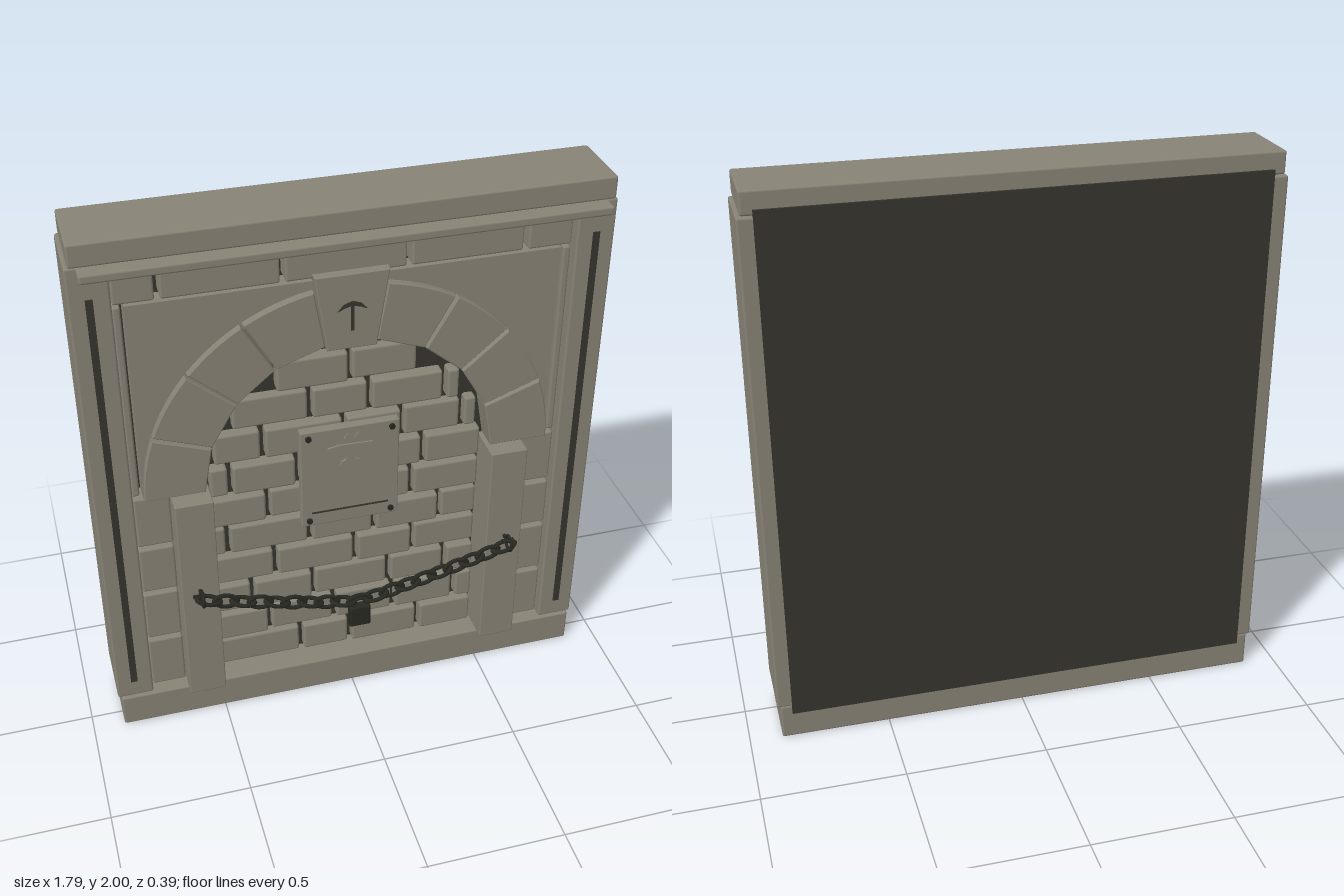
import * as THREE from 'three';
import { RoundedBoxGeometry } from 'three/addons/geometries/RoundedBoxGeometry.js';

const mat = (name, color) => Object.assign(new THREE.MeshStandardMaterial({ color }), { name });

export function createModel() {
  const root = new THREE.Group();
  root.name = 'sealedArchway';
  const stone = mat('stone', 0x878275);
  const mortar = mat('dark mortar', 0x35342d);
  const iron = mat('blackened iron', 0x272821);

  const add = (name, geo, m, parent = root) => {
    const mesh = new THREE.Mesh(geo, m);
    mesh.name = name;
    parent.add(mesh);
    return mesh;
  };
  const group = (name) => {
    const g = new THREE.Group();
    g.name = name;
    root.add(g);
    return g;
  };
  // Box given by its limits, with softened edges when r > 0
  const block = (name, x0, x1, y0, y1, z0, z1, m = stone, r = 0.008, parent = root) => {
    const w = x1 - x0, h = y1 - y0, d = z1 - z0;
    const geo = r ? new RoundedBoxGeometry(w, h, d, 2, r) : new THREE.BoxGeometry(w, h, d);
    const mesh = add(name, geo, m, parent);
    mesh.position.set((x0 + x1) / 2, (y0 + y1) / 2, (z0 + z1) / 2);
    return mesh;
  };
  // Flat outline pushed out from z0 to z1
  const slab = (name, shape, z0, z1, m = stone, bevel = 0, parent = root) => {
    const geo = new THREE.ExtrudeGeometry(shape, {
      depth: z1 - z0 - 2 * bevel, curveSegments: 24, bevelEnabled: bevel > 0,
      bevelSize: bevel, bevelThickness: bevel, bevelOffset: -bevel, bevelSegments: 1,
    });
    geo.translate(0, 0, z0 + bevel);
    return add(name, geo, m, parent);
  };
  const outline = (pts) => new THREE.Shape(pts.map(([x, y]) => new THREE.Vector2(x, y)));

  // Surround
  block('backPanel', -0.845, 0.845, 0.1, 1.94, -0.195, -0.04, mortar, 0);
  block('plinth', -0.885, 0.885, 0, 0.13, -0.187, 0.07);
  block('lintel', -0.885, 0.885, 1.92, 2, -0.187, 0.07);
  block('ledge', -0.86, 0.86, 1.888, 1.92, 0.02, 0.12);
  for (const s of [-1, 1]) {
    const side = s < 0 ? 'right' : 'left';
    const span = (a, b) => (s > 0 ? [a, b] : [-b, -a]);
    block(side + 'Post', ...span(0.765, 0.897), 0.13, 1.917, -0.19, 0.06);
    block(side + 'PostGroove', ...span(0.82, 0.844), 0.2, 1.805, 0.058, 0.064, mortar, 0);
    block(side + 'Pillar', ...span(0.5, 0.635), 0.13, 1.0, -0.06, 0.11, stone, 0.005);
    block(side + 'EdgeStrip', ...span(0.737, 0.763), 1.01, 1.745, -0.06, 0.025);
    // Short courses between pillar and post
    const ys = [0.13, 0.36, 0.58, 0.785, 1.008];
    for (let i = 0; i < 4; i++) {
      block(side + 'SideBrick', ...span(0.637, 0.762), ys[i] + 0.008, ys[i + 1] - 0.008, -0.06, 0.03);
    }
  }

  // Course above the arch
  const topX = [-0.77, -0.62, -0.22, 0.2, 0.6, 0.77];
  for (let i = 0; i < 5; i++) {
    block('topBrick', topX[i] + 0.009, topX[i + 1] - 0.009, 1.755, 1.888, -0.06, 0.03);
  }

  // Infill bricks, one list of joints for each course
  const wall = group('brickInfill');
  const courses = [
    [-0.5, -0.18, 0.01, 0.28, 0.5], [-0.5, -0.3, -0.05, 0.18, 0.42, 0.5],
    [-0.5, -0.36, -0.13, 0.16, 0.38, 0.5], [-0.5, -0.27, 0.03, 0.25, 0.5],
    [-0.5, -0.44, -0.14, 0.1, 0.35, 0.5], [-0.5, -0.29, -0.06, 0.24, 0.5],
    [-0.5, -0.42, -0.18, 0.05, 0.28, 0.5], [-0.48, -0.3, -0.01, 0.2, 0.42, 0.48],
    [-0.41, -0.13, 0.08, 0.35, 0.41], [-0.255, 0.01, 0.255],
  ];
  courses.forEach((xs, row) => {
    const y = 0.13 + row * 0.1325;
    for (let i = 0; i < xs.length - 1; i++) {
      const front = 0.004 * ((row * 3 + i * 5) % 4) - 0.006;
      block('infillBrick', xs[i] + 0.009, xs[i + 1] - 0.009, y + 0.008, y + 0.124, -0.08, front, stone, 0.01, wall);
    }
  });

  // Spandrel wall around the arch
  const spandrel = outline([[0.7, 1], [0.727, 1], [0.727, 1.745], [-0.727, 1.745], [-0.727, 1], [-0.7, 1]]);
  spandrel.absarc(0, 1, 0.7, Math.PI, 0, true);
  slab('spandrel', spandrel, -0.06, 0.025);

  // Arch stones and keystone
  const arch = group('arch');
  const edges = [0, 20, 40.5, 60, 80.5].map(THREE.MathUtils.degToRad);
  for (const s of [1, -1]) {
    for (let i = 0; i < 4; i++) {
      const a = edges[i] + (i ? 0.007 : 0), b = edges[i + 1] - 0.007;
      const pts = [[Math.cos(a) * 0.515, 1 + Math.sin(a) * 0.515]];
      for (let k = 0; k <= 6; k++) {
        const t = a + (b - a) * k / 6;
        pts.push([Math.cos(t) * 0.725, 1 + Math.sin(t) * 0.725]);
      }
      pts.push([Math.cos(b) * 0.515, 1 + Math.sin(b) * 0.515]);
      const placed = pts.map(([x, y]) => [x * s, y]);
      slab('archStone', outline(s > 0 ? placed : placed.reverse()), -0.06, 0.05, stone, 0.004, arch);
    }
  }
  slab('keystone', outline([[-0.085, 1.495], [0.085, 1.495], [0.126, 1.772], [-0.126, 1.772]]),
    -0.06, 0.06, stone, 0.004, arch);

  // Pick carved on the keystone
  const pick = group('pickCarving');
  slab('pickHead', outline([[-0.05, 1.64], [-0.03, 1.663], [0, 1.674], [0.03, 1.663], [0.05, 1.64],
    [0.028, 1.65], [0, 1.658], [-0.028, 1.65]]), 0.058, 0.064, mortar, 0, pick);
  block('pickHandle', -0.006, 0.006, 1.565, 1.66, 0.058, 0.064, mortar, 0, pick);

  // Plaque with rivets and anvil relief
  const plaque = group('plaque');
  block('plaquePlate', -0.178, 0.178, 0.762, 1.167, 0, 0.035, stone, 0.005, plaque);
  for (const x of [-0.15, 0.15]) for (const y of [0.787, 1.142]) {
    const rivet = add('rivet', new THREE.CylinderGeometry(0.011, 0.011, 0.016, 12), iron, plaque);
    rivet.rotation.x = Math.PI / 2;
    rivet.position.set(x, y, 0.036);
  }
  slab('anvil', outline([[-0.04, 1.01], [0.04, 1.01], [0.034, 1.026], [0.016, 1.034], [0.016, 1.06],
    [0.045, 1.07], [0.08, 1.08], [0.08, 1.095], [-0.04, 1.098], [-0.082, 1.09], [-0.045, 1.07],
    [-0.016, 1.06], [-0.016, 1.034], [-0.034, 1.026]]), 0.033, 0.042, stone, 0, plaque);
  for (const x of [-0.012, 0.026]) {
    const spark = block('spark', x - 0.007, x + 0.007, 1.115, 1.14, 0.033, 0.04, stone, 0, plaque);
    spark.rotation.z = -0.5;
  }
  block('plaqueRule', -0.14, 0.14, 0.816, 0.822, 0.033, 0.038, mortar, 0, plaque);

  // Sagging chain, links turned a quarter against their neighbours
  const chain = group('chain');
  const sag = (x) => 0.482 + 0.13 * Math.pow(Math.abs(x) / 0.55, 1.2);
  const linkGeo = new THREE.TorusGeometry(0.025, 0.0075, 8, 20).scale(1.6, 1, 1);
  for (let i = 0; i < 19; i++) {
    const x = -0.55 + i * 1.1 / 18;
    const link = add('chainLink', linkGeo, iron, chain);
    link.position.set(x, sag(x), 0.16);
    const slope = Math.atan2(sag(x + 0.02) - sag(x - 0.02), 0.04);
    link.rotation.set(i % 2 ? 0 : Math.PI / 2, 0, slope, 'ZYX');
  }
  for (const s of [-1, 1]) {
    const ring = add('wallRing', new THREE.TorusGeometry(0.028, 0.006, 8, 20), iron, chain);
    ring.position.set(s * 0.57, 0.622, 0.158);
    ring.rotation.y = Math.PI / 2;
    const bolt = add('wallBolt', new THREE.CylinderGeometry(0.007, 0.007, 0.035, 8), iron, chain);
    bolt.position.set(s * 0.57, 0.622, 0.12);
    bolt.rotation.x = Math.PI / 2;
    block('ringPin', s * 0.577 - 0.022, s * 0.577 + 0.022, 0.608, 0.618, 0.125, 0.135, iron, 0, chain);
  }

  // Padlock
  const lock = group('padlock');
  block('lockBody', -0.04, 0.04, 0.372, 0.462, 0.142, 0.178, iron, 0.008, lock);
  const shackle = add('shackle', new THREE.TorusGeometry(0.026, 0.007, 8, 16, Math.PI), iron, lock);
  shackle.position.set(0, 0.465, 0.16);
  for (const x of [-0.026, 0.026]) {
    const leg = add('shackleLeg', new THREE.CylinderGeometry(0.007, 0.007, 0.02, 8), iron, lock);
    leg.position.set(x, 0.458, 0.16);
  }
  return root;
}
